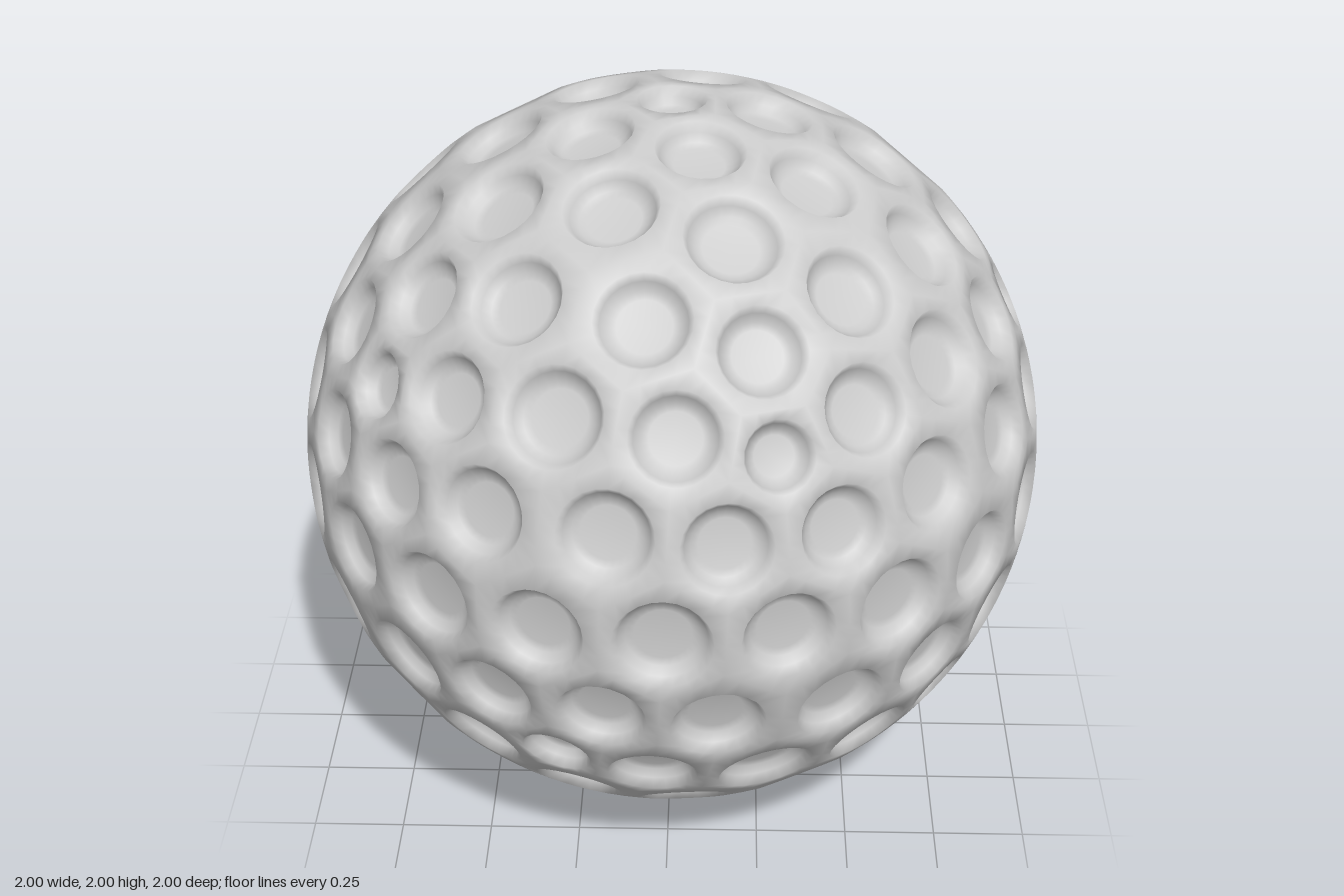
import * as THREE from 'three';
import { mergeVertices } from 'three/addons/utils/BufferGeometryUtils.js';

const RADIUS = 1.006;
const STEPS = 4; // subdivisions along each side of a cell
// dimple profile from rim to floor: [fraction of rim radius, depth]
const PROFILE = [[1, 0], [0.88, 0.026], [0.72, 0.046], [0.56, 0.054], [0, 0.055]];

// Dimple centres are the points of a subdivided icosahedron with a point at the pole;
// each cell's corners are the centres of the triangles around its point.
function makeCells() {
  const t = (1 + Math.sqrt(5)) / 2;
  const Y = new THREE.Vector3(0, 1, t).normalize();
  const X = new THREE.Vector3(0, -1, t);
  X.addScaledVector(Y, -X.dot(Y)).normalize();
  const Z = new THREE.Vector3().crossVectors(X, Y);
  const turn = new THREE.Matrix4().makeBasis(X, Y, Z).transpose();

  const pos = new THREE.IcosahedronGeometry(1, 3).applyMatrix4(turn).getAttribute('position');
  const cells = [];
  for (let i = 0; i < pos.count; i += 3) {
    const tri = [0, 1, 2].map(k => new THREE.Vector3().fromBufferAttribute(pos, i + k));
    const corner = tri[0].clone().add(tri[1]).add(tri[2]).normalize();
    for (const p of tri) {
      let cell = cells.find(c => c.centre.distanceTo(p) < 0.01);
      if (!cell) cells.push(cell = { centre: p.clone().normalize(), corners: [] });
      cell.corners.push(corner);
    }
  }
  return cells;
}

// One cell: ridge border on the sphere, round rim, then the dimple down to its floor
function addCell({ centre, corners }, out) {
  const u = new THREE.Vector3(1, 0.3, 0.2).cross(centre).normalize();
  const v = new THREE.Vector3().crossVectors(centre, u);
  const angle = p => Math.atan2(p.dot(v), p.dot(u));
  corners.sort((a, b) => angle(a) - angle(b));

  const border = [];
  corners.forEach((a, i) => {
    const b = corners[(i + 1) % corners.length];
    for (let s = 0; s < STEPS; s++) border.push(a.clone().lerp(b, s / STEPS).normalize());
  });
  const rim = 0.82 * Math.min(...border.map(p => p.distanceTo(centre)));

  const rings = [border.map(p => p.clone().multiplyScalar(RADIUS))];
  for (const [f, depth] of PROFILE) {
    rings.push(border.map(p => {
      const a = angle(p);
      return centre.clone()
        .addScaledVector(u, Math.cos(a) * rim * f)
        .addScaledVector(v, Math.sin(a) * rim * f)
        .normalize().multiplyScalar(RADIUS)
        .addScaledVector(centre, -depth);
    }));
  }
  const n = border.length;
  for (let r = 0; r + 1 < rings.length; r++) {
    for (let i = 0; i < n; i++) {
      const j = (i + 1) % n;
      const [a0, a1, b0, b1] = [rings[r][i], rings[r][j], rings[r + 1][i], rings[r + 1][j]];
      const tris = r === rings.length - 2 ? [a0, a1, b0] : [a0, a1, b1, a0, b1, b0];
      for (const p of tris) out.push(p.x, p.y, p.z);
    }
  }
}

export function createModel() {
  const group = new THREE.Group();
  group.name = 'golfBall';

  const points = [];
  makeCells().forEach(cell => addCell(cell, points));
  let geometry = new THREE.BufferGeometry();
  geometry.setAttribute('position', new THREE.Float32BufferAttribute(points, 3));
  geometry = mergeVertices(geometry, 1e-4);
  geometry.computeVertexNormals();

  // dimpled shell
  const shell = new THREE.Mesh(geometry, new THREE.MeshStandardMaterial({ color: 0xcccccc }));
  shell.name = 'dimpledShell';
  shell.position.y = 1;
  group.add(shell);
  return group;
}
